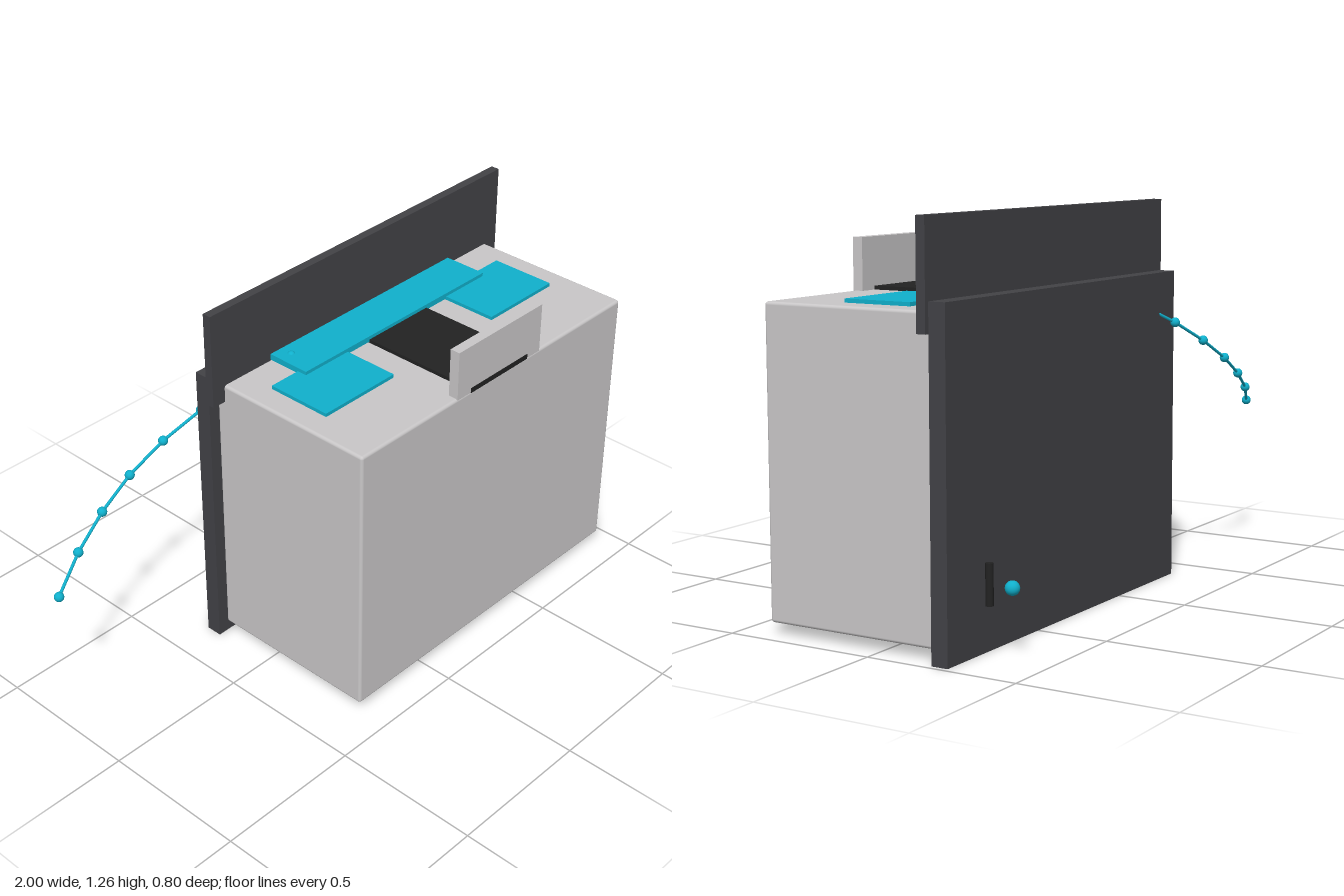
import * as THREE from 'three';
import { RoundedBoxGeometry } from 'three/addons/geometries/RoundedBoxGeometry.js';

const flat = (name, color) => {
  const m = new THREE.MeshStandardMaterial({ color });
  m.name = name;
  return m;
};

export function createModel() {
  const group = new THREE.Group();
  const paleGrey = flat('paleGrey', 0xc9c7c8);
  const charcoal = flat('charcoal', 0x424246);
  const black = flat('black', 0x222222);
  const cyan = flat('cyan', 0x10b0cc);

  const add = (name, geometry, material, x = 0, y = 0, z = 0) => {
    const mesh = new THREE.Mesh(geometry, material);
    mesh.name = name;
    mesh.position.set(x, y, z);
    group.add(mesh);
    return mesh;
  };
  // Block given by its lower and upper limits on each axis
  const block = (name, material, [x0, x1], [y0, y1], [z0, z1], radius = 0) => {
    const size = [x1 - x0, y1 - y0, z1 - z0];
    const geometry = radius
      ? new RoundedBoxGeometry(...size, 3, radius)
      : new THREE.BoxGeometry(...size);
    return add(name, geometry, material, (x0 + x1) / 2, (y0 + y1) / 2, (z0 + z1) / 2);
  };

  // Main case and the two overlapping panels behind it
  block('case', paleGrey, [-0.32, 0.945], [0.035, 0.994], [-0.215, 0.397], 0.01);
  block('backPanel', charcoal, [-0.36, 0.983], [0, 1.025], [-0.265, -0.21]);
  block('upperPanel', charcoal, [-0.37, 0.998], [0.935, 1.26], [-0.21, -0.18]);

  // Upright tab and the dark strip that runs under it
  block('frontTab', paleGrey, [0.112, 0.514], [0.99, 1.16], [0.362, 0.397]);
  block('topStrip', black, [0.175, 0.452], [0.988, 1.006], [-0.04, 0.398]);

  // Coloured pads on top
  for (const x of [-0.08, 0.705])
    block('sidePad', cyan, [x - 0.153, x + 0.153], [0.99, 1.006], [-0.06, 0.17]);
  block('rearPad', cyan, [-0.118, 0.742], [0.998, 1.018], [-0.185, -0.025]);
  add('padButton', new THREE.SphereGeometry(0.015, 20, 12), cyan, -0.068, 1.009, -0.137);

  // Beaded cord curving out of the back panel
  const points = [
    [-0.19, 0.925, -0.23], [-0.325, 0.858, -0.289], [-0.457, 0.788, -0.327],
    [-0.59, 0.717, -0.342], [-0.72, 0.649, -0.331], [-0.853, 0.582, -0.297],
    [-0.985, 0.515, -0.24],
  ].map((p) => new THREE.Vector3(...p));
  points.forEach((p, i) => {
    if (i === 0) return;
    add('cordBead', new THREE.SphereGeometry(0.016, 20, 14), cyan, p.x, p.y, p.z);
    const link = new THREE.LineCurve3(points[i - 1], p);
    add('cordLink', new THREE.TubeGeometry(link, 1, 0.005, 10), cyan);
  });

  // Handle bar and knob standing off the back
  add('handle', new THREE.CylinderGeometry(0.012, 0.012, 0.125, 20), black, 0.818, 0.212, -0.298);
  add('knob', new THREE.SphereGeometry(0.022, 24, 16), cyan, 0.818, 0.211, -0.375);

  return group;
}
